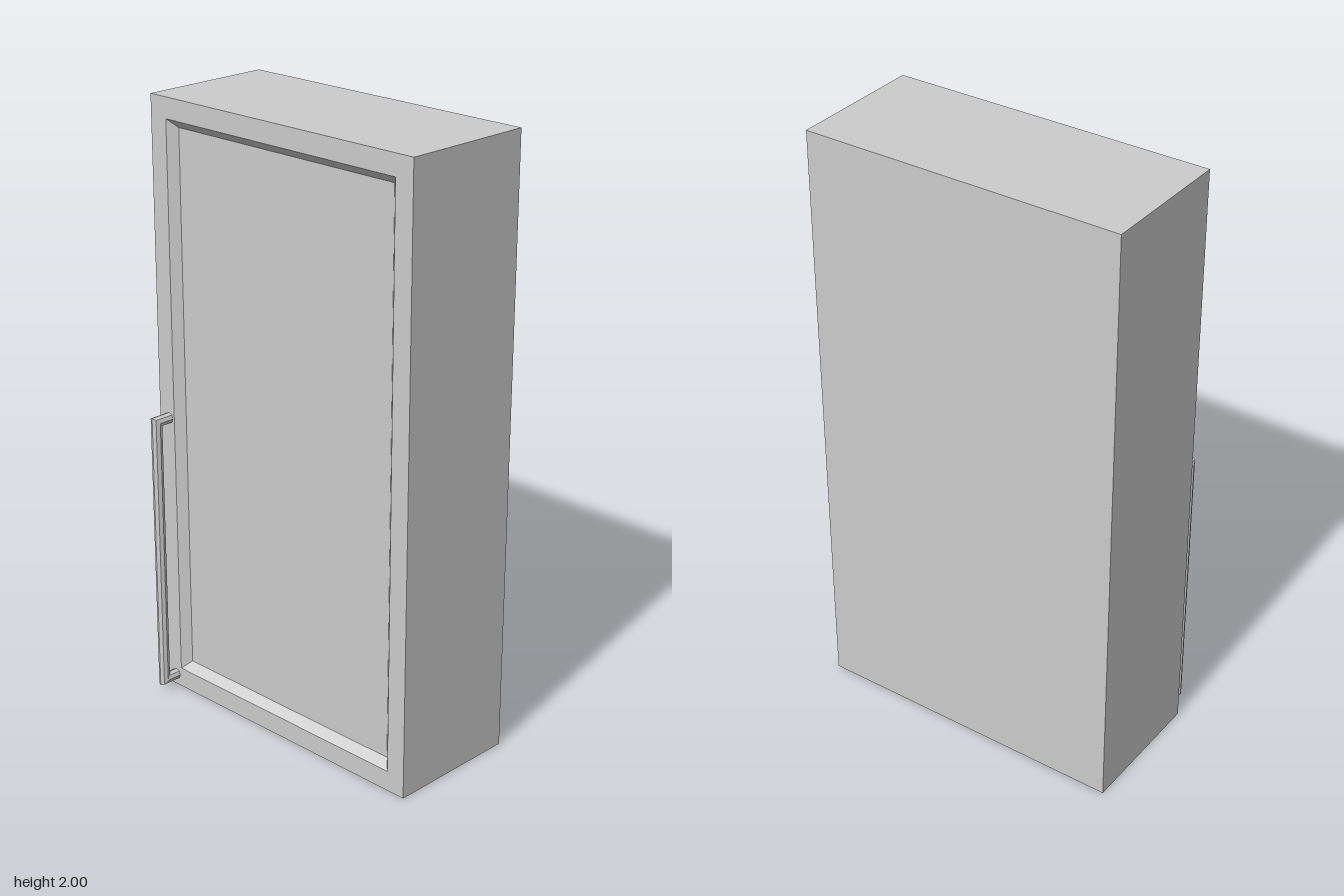
import * as THREE from 'three';

const material = new THREE.MeshStandardMaterial({ color: 0xcccccc, flatShading: true });

function addMesh(parent, name, geometry) {
  const mesh = new THREE.Mesh(geometry, material);
  mesh.name = name;
  parent.add(mesh);
  return mesh;
}

// Corners of an upright rectangle centred on x = 0, y = 1, counter-clockwise from the front
function rectangle(halfWidth, halfHeight, z) {
  return [[-1, -1], [1, -1], [1, 1], [-1, 1]].map(([x, y]) => [x * halfWidth, 1 + y * halfHeight, z]);
}

// Four-sided band joining a rectangle to the next one along the surface
function band(from, to) {
  const positions = [];
  for (let i = 0; i < 4; i++) {
    const j = (i + 1) % 4;
    positions.push(...from[i], ...from[j], ...to[j], ...from[i], ...to[j], ...to[i]);
  }
  const geometry = new THREE.BufferGeometry();
  geometry.setAttribute('position', new THREE.Float32BufferAttribute(positions, 3));
  geometry.computeVertexNormals();
  return geometry;
}

// Octagonal bar with mitred corners: each cylinder ring is moved to a station on the path
function handleGeometry(radius, x, bottom, top, backZ, frontZ) {
  const stations = [
    { y: top, z: backZ, dy: 1, dz: 0 },
    { y: top, z: frontZ, dy: 1, dz: 1 },
    { y: bottom, z: frontZ, dy: -1, dz: 1 },
    { y: bottom, z: backZ, dy: -1, dz: 0 },
  ];
  const geometry = new THREE.CylinderGeometry(radius, radius, 1, 8, 3, true);
  const position = geometry.attributes.position;
  for (let i = 0; i < position.count; i++) {
    const s = stations[Math.floor(i / 9)];
    const offset = position.getZ(i);
    position.setXYZ(i, x + position.getX(i), s.y + s.dy * offset, s.z + s.dz * offset);
  }
  geometry.computeVertexNormals();
  return geometry;
}

export function createModel() {
  const group = new THREE.Group();
  group.name = 'cabinet';

  const backZ = -0.263, frontZ = 0.19, panelZ = 0.163;
  const back = rectangle(0.533, 1, backZ);
  const front = rectangle(0.533, 1, frontZ);
  const opening = rectangle(0.467, 0.933, frontZ);
  const inner = rectangle(0.44, 0.906, panelZ);

  // Case: sides, top, bottom and back
  addMesh(group, 'caseSides', band(back, front));
  const backPanel = addMesh(group, 'backPanel', new THREE.PlaneGeometry(1.066, 2));
  backPanel.position.set(0, 1, backZ);
  backPanel.rotation.y = Math.PI;

  // Door: flat frame, sloping bevel and recessed panel
  addMesh(group, 'doorFrame', band(front, opening));
  addMesh(group, 'doorBevel', band(opening, inner));
  addMesh(group, 'doorPanel', new THREE.PlaneGeometry(0.88, 1.812)).position.set(0, 1, panelZ);

  // Long pull handle on the lower part of the frame
  addMesh(group, 'handle', handleGeometry(0.018, -0.491, 0.039, 0.96, frontZ, 0.244));

  return group;
}
